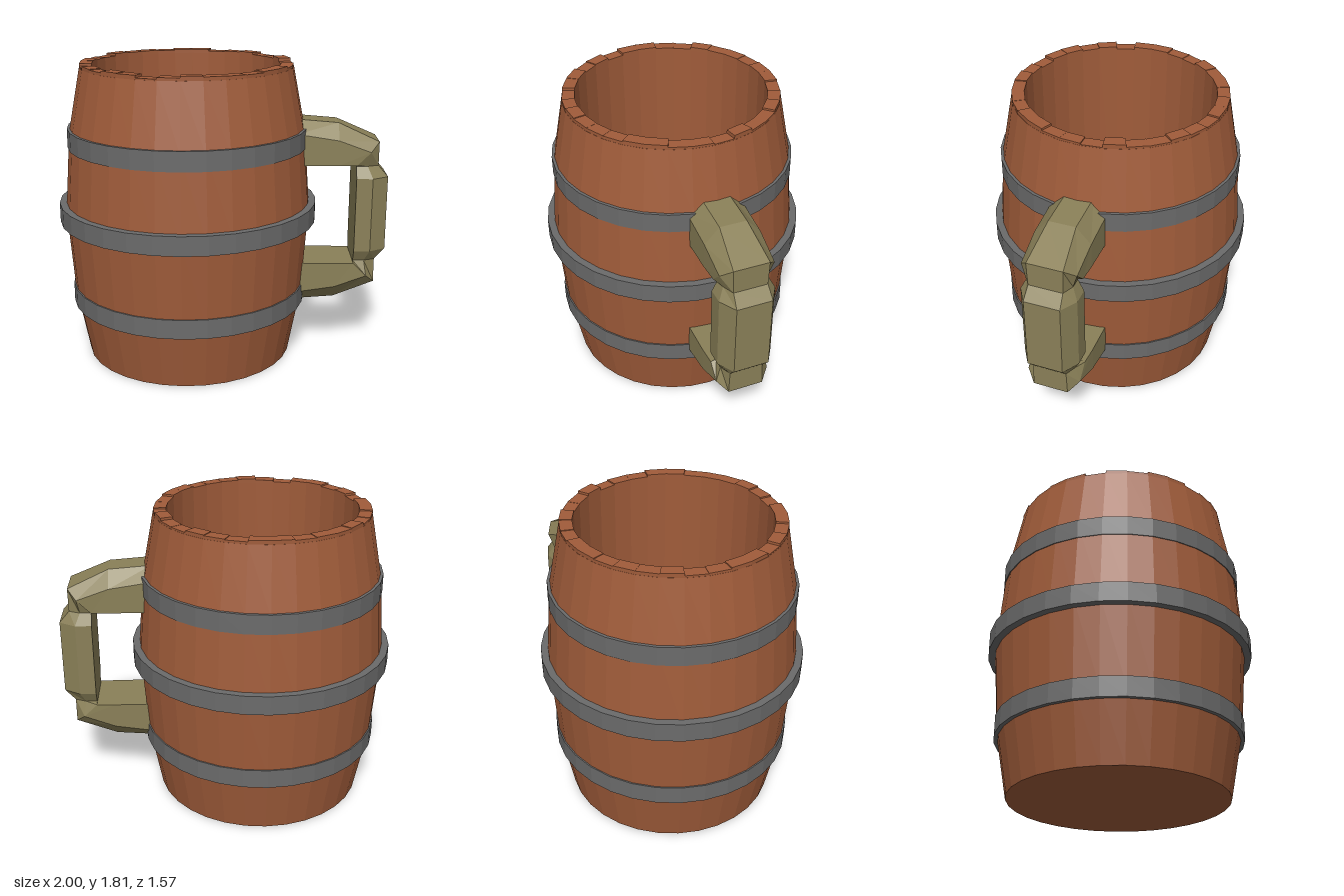
import * as THREE from 'three';

const SIDES = 32;
const CENTRE_X = -0.215;
const RIM = 1.785;

const material = (color) => new THREE.MeshStandardMaterial({ color, flatShading: true });

function addMesh(parent, name, geometry, mat) {
  const mesh = new THREE.Mesh(geometry, mat);
  mesh.name = name;
  parent.add(mesh);
  return mesh;
}

function lathe(points) {
  return new THREE.LatheGeometry(points.map(([r, y]) => new THREE.Vector2(r, y)), SIDES);
}

// One stave end: a wedge of the rim raised to its own height
function staveEnd(index, height) {
  const a = (index / SIDES) * Math.PI * 2;
  const b = ((index + 1) / SIDES) * Math.PI * 2;
  const corner = (r, t) => new THREE.Vector2(r * Math.cos(t), r * Math.sin(t));
  const shape = new THREE.Shape([corner(0.56, a), corner(0.634, a), corner(0.634, b), corner(0.56, b)]);
  const geometry = new THREE.ExtrudeGeometry(shape, { depth: height, bevelEnabled: false });
  return geometry.rotateX(-Math.PI / 2).translate(0, RIM, 0);
}

// Six-sided loft through sections: inner point, outer point, half width,
// half width of the outer flat, and where the bevel starts
function handleGeometry() {
  const upper = [
    [0.44, 1.21, 0.44, 1.475, 0.165, 0.08, 0.72],
    [0.69, 1.21, 0.69, 1.455, 0.165, 0.08, 0.62],
    [0.80, 1.21, 0.935, 1.345, 0.16, 0.105, 0.6],
    [0.80, 1.20, 0.935, 1.20, 0.13, 0.1, 0.5],
    [0.80, 1.13, 0.995, 1.13, 0.165, 0.105, 0.5],
  ];
  const flip = (y) => 1.805 - y;
  const lower = upper.map(([a, b, c, d, ...rest]) => [a, flip(b), c, flip(d), ...rest]).reverse();
  const sections = [...upper, ...lower];
  const positions = [];
  const indices = [];
  sections.forEach(([ix, iy, ox, oy, half, flat, bevel], s) => {
    const ring = [[1, -flat], [1, flat], [bevel, half], [0, half], [0, -half], [bevel, -half]];
    ring.forEach(([t, z], k) => {
      positions.push(ix + (ox - ix) * t, iy + (oy - iy) * t, z);
      if (s === sections.length - 1) return;
      const a = s * 6 + k;
      const b = s * 6 + ((k + 1) % 6);
      indices.push(a, b, a + 6, b, b + 6, a + 6);
    });
  });
  const geometry = new THREE.BufferGeometry();
  geometry.setAttribute('position', new THREE.Float32BufferAttribute(positions, 3));
  geometry.setIndex(indices);
  const faceted = geometry.toNonIndexed();
  faceted.computeVertexNormals();
  return faceted;
}

export function createModel() {
  const model = new THREE.Group();
  model.name = 'barrelMug';
  const wood = material(0xa05c3a);
  const iron = material(0x6b6b6b);
  const paleWood = material(0x8a8058);

  const barrel = new THREE.Group();
  barrel.name = 'barrel';
  barrel.position.x = CENTRE_X;
  model.add(barrel);

  // Bulging outside, rim, straight inside wall and floor
  addMesh(barrel, 'barrelBody', lathe([
    [0, 0], [0.635, 0], [0.71, 0.4], [0.747, 0.91], [0.71, 1.4],
    [0.635, RIM], [0.56, RIM], [0.56, 0.1], [0, 0.1],
  ]), wood);

  // Uneven stave ends around the rim
  const staves = new THREE.Group();
  staves.name = 'staveEnds';
  barrel.add(staves);
  let seed = 7;
  for (let i = 0; i < SIDES; i++) {
    seed = (seed * 16807) % 2147483647;
    const height = 0.006 + 0.022 * (seed / 2147483647);
    addMesh(staves, 'staveEnd', staveEnd(i, height), wood);
  }

  // Hoops
  const hoops = [
    ['lowerHoop', 0.337, 0.453, 0.722],
    ['middleHoop', 0.855, 0.97, 0.785],
    ['upperHoop', 1.31, 1.425, 0.722],
  ];
  for (const [name, low, high, r] of hoops) {
    const inner = r - 0.06;
    addMesh(barrel, name, lathe([[inner, low], [r, low], [r, high], [inner, high]]), iron);
  }

  addMesh(model, 'handle', handleGeometry(), paleWood);
  return model;
}
